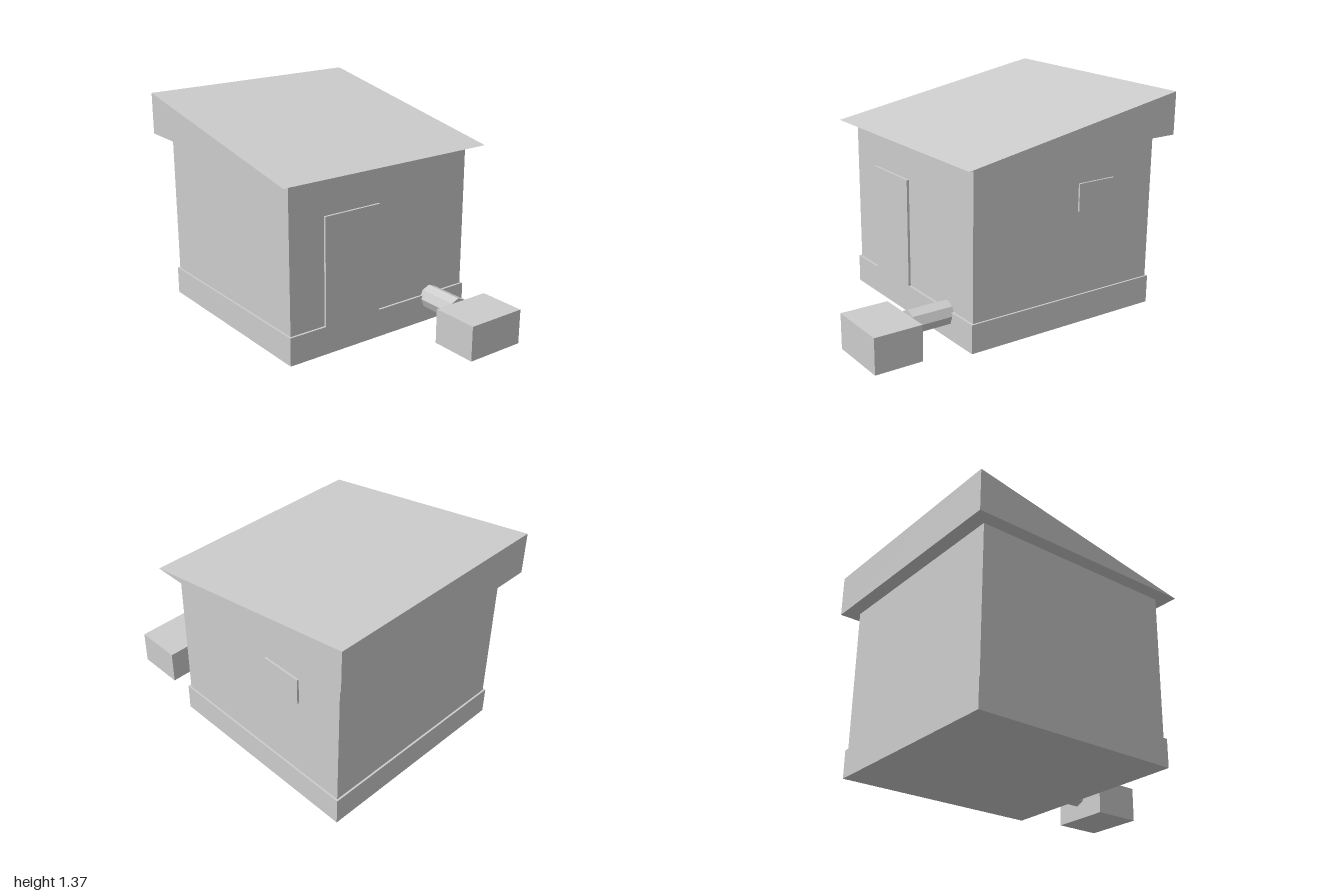
import * as THREE from 'three';

export function createModel() {
  const model = new THREE.Group();
  const grey = new THREE.MeshStandardMaterial({ color: 0xcccccc });
  grey.name = 'light grey';
  grey.flatShading = true;

  const add = (name, geometry) => {
    const mesh = new THREE.Mesh(geometry, grey);
    mesh.name = name;
    model.add(mesh);
    return mesh;
  };

  // Box given by its lower and upper corners
  const box = (name, [x0, y0, z0], [x1, y1, z1]) =>
    add(name, new THREE.BoxGeometry(x1 - x0, y1 - y0, z1 - z0))
      .position.set((x0 + x1) / 2, (y0 + y1) / 2, (z0 + z1) / 2);

  // Hut
  box('plinth', [-0.672, 0, -0.923], [0.672, 0.178, 0.421]);
  box('walls', [-0.66, 0.178, -0.911], [0.66, 1.1, 0.406]);
  box('door', [-0.42, 0.178, 0.40], [-0.024, 0.857, 0.421]);
  box('window', [0.655, 0.708, -0.602], [0.672, 0.88, -0.338]);

  // Single-pitch roof: wedge rising to the back, extruded along x
  const wedge = new THREE.Shape([
    new THREE.Vector2(-0.49, 1.1),
    new THREE.Vector2(1, 1.1),
    new THREE.Vector2(1, 1.365),
  ]);
  const roof = new THREE.ExtrudeGeometry(wedge, { depth: 1.492, bevelEnabled: false });
  roof.translate(0, 0, -0.746).rotateY(Math.PI / 2);
  add('roof', roof);

  // Octagonal pipe leaving the front wall, and the block in front of it
  const pipe = new THREE.CylinderGeometry(0.075, 0.075, 0.275, 8);
  pipe.rotateX(Math.PI / 2);
  add('pipe', pipe).position.set(0.395, 0.156, 0.535);
  box('block', [0.198, 0, 0.695], [0.591, 0.222, 1]);

  return model;
}
